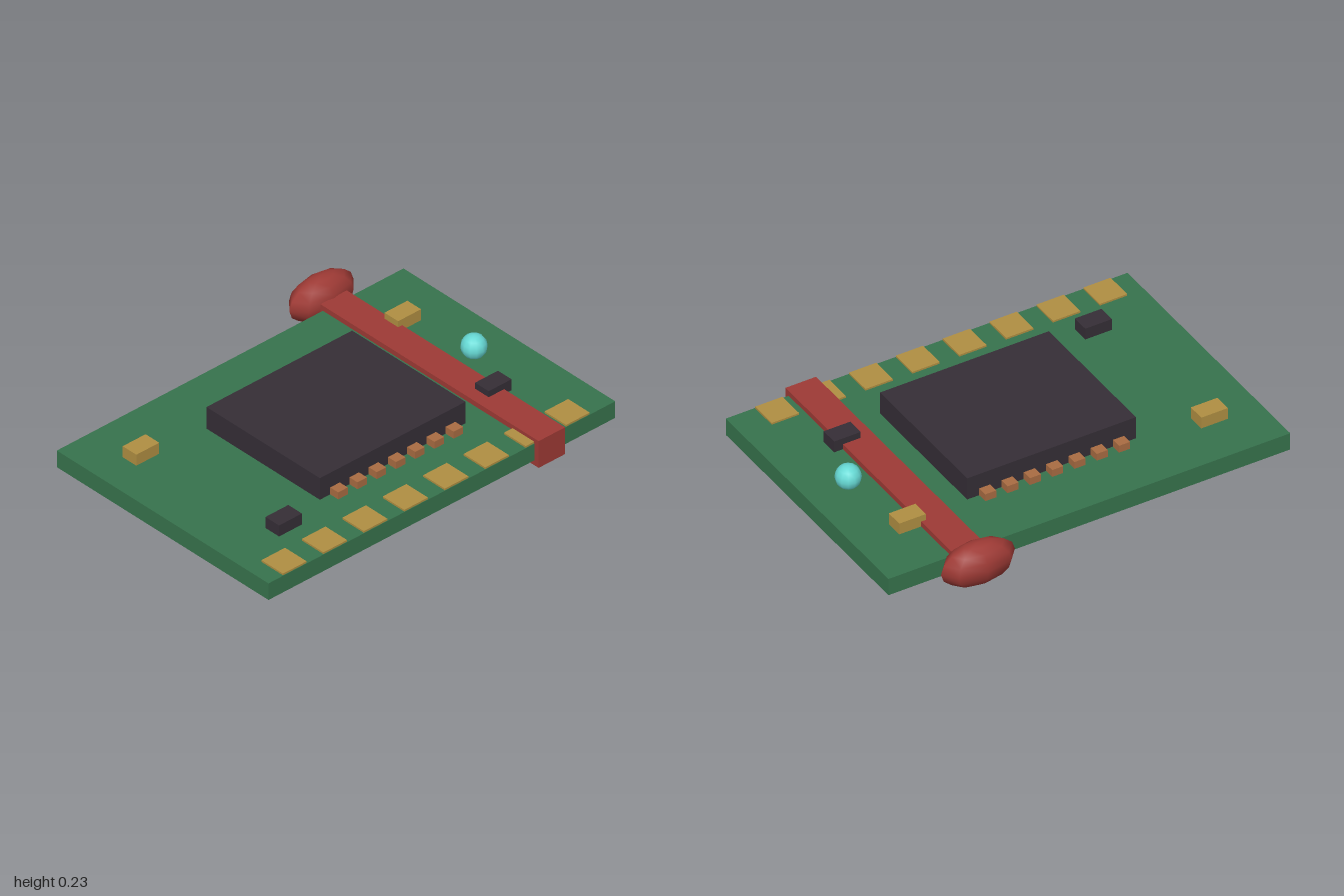
import * as THREE from 'three';

const mat = (name, color, flatShading = false) => {
  const m = new THREE.MeshStandardMaterial({ color, flatShading });
  m.name = name;
  return m;
};

export function createModel() {
  const model = new THREE.Group();
  model.name = 'circuitBoard';
  const green = mat('boardGreen', 0x37734d);
  const charcoal = mat('charcoal', 0x352e36);
  const gold = mat('gold', 0xb08f42);
  const copper = mat('copper', 0xa96c42);
  const red = mat('ribbonRed', 0x9e3a35);
  const knotRed = red;
  const cyan = mat('lampCyan', 0x66d9d4);

  const add = (name, geo, material, x, y, z) => {
    const mesh = new THREE.Mesh(geo, material);
    mesh.name = name;
    mesh.position.set(x, y, z);
    model.add(mesh);
    return mesh;
  };
  // Box given by its centre in plan, its footprint and its bottom and top heights
  const block = (name, material, x, z, w, d, y0, y1) =>
    add(name, new THREE.BoxGeometry(w, y1 - y0, d), material, x, (y0 + y1) / 2, z);

  const top = 0.113;
  block('board', green, 0, 0.077, 2, 1.335, 0.027, top);
  block('chip', charcoal, 0, 0.077, 0.84, 0.715, top, 0.225);

  // Chip legs along both long sides
  for (let i = -3; i <= 3; i++)
    for (const s of [-1, 1])
      block('chipLeg', copper, i * 0.111, 0.077 + s * 0.375, 0.055, 0.066, top, 0.149);

  // Contact pads along the front edge
  for (let i = 0; i < 8; i++)
    block('contactPad', gold, -0.846 + i * 0.2333, 0.674, 0.136, 0.136, top, 0.122);

  // Small surface parts
  block('goldCapacitor', gold, -0.76, -0.322, 0.132, 0.086, top, 0.17);
  block('goldCapacitor', gold, 0.73, -0.3, 0.132, 0.086, top, 0.17);
  block('resistor', charcoal, -0.666, 0.475, 0.132, 0.086, top, 0.17);
  block('resistor', charcoal, 0.664, 0.343, 0.132, 0.086, top, 0.17);
  add('lamp', new THREE.SphereGeometry(0.059, 12, 8), cyan, 0.795, 0.153, 0.078);

  // Ribbon wrapped around the board, with its knot behind
  block('ribbon', red, 0.611, 0.082, 0.152, 1.376, 0, 0.139);
  const knot = add('ribbonKnot', new THREE.SphereGeometry(1, 8, 8), knotRed, 0.61, 0.112, -0.682);
  knot.scale.set(0.184, 0.105, 0.087);

  return model;
}
